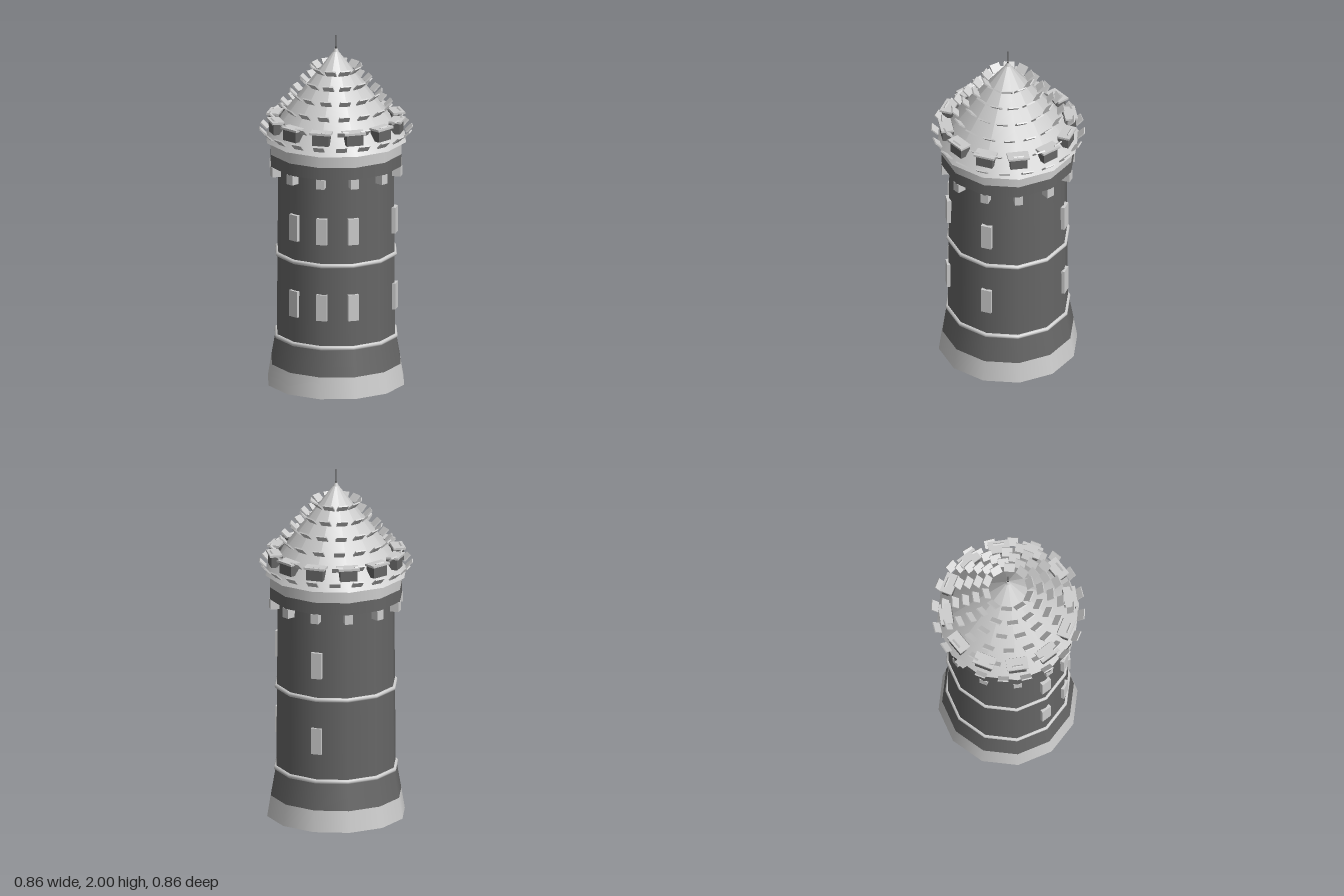
import * as THREE from 'three';

export function createModel() {
  const tower = new THREE.Group();
  tower.name = 'roundTower';
  const mat = (name, color) => {
    const m = new THREE.MeshStandardMaterial({ color });
    m.name = name;
    return m;
  };
  const stone = mat('darkStone', 0x666666);
  const trim = mat('lightTrim', 0xcccccc);
  const iron = mat('iron', 0x555555);
  const SIDES = 12;

  function add(name, geometry, material, parent = tower) {
    const mesh = new THREE.Mesh(geometry, material);
    mesh.name = name;
    parent.add(mesh);
    return mesh;
  }

  // Tapered drum between two heights
  function drum(name, y0, y1, r0, r1, material, sides = SIDES) {
    const g = new THREE.CylinderGeometry(r1, r0, y1 - y0, sides);
    add(name, g, material).position.y = (y0 + y1) / 2;
  }

  // Box standing at an angle round the tower axis, optionally tilted
  function radialBox(name, size, radius, y, angle, material, tilt = 0) {
    const g = new THREE.BoxGeometry(...size);
    g.rotateX(tilt);
    g.translate(0, y, radius);
    g.rotateY(angle);
    add(name, g, material);
  }

  const around = (count, fn) => {
    for (let i = 0; i < count; i++) fn((i / count) * Math.PI * 2);
  };

  // Plinth, shaft and parapet
  drum('plinth', 0, 0.12, 0.39, 0.37, trim);
  drum('flaredBase', 0.12, 0.28, 0.37, 0.342, stone);
  drum('shaft', 0.28, 1.27, 0.338, 0.33, stone);
  drum('parapetWall', 1.265, 1.335, 0.375, 0.375, stone);
  drum('parapetBand', 1.335, 1.405, 0.375, 0.375, trim);

  // String courses
  for (const [y, r] of [[0.28, 0.339], [0.755, 0.335]]) {
    const g = new THREE.TorusGeometry(r, 0.013, 8, SIDES);
    g.rotateX(Math.PI / 2);
    add('stringCourse', g, trim).position.y = y;
  }

  // Corbels under the parapet
  around(12, a => radialBox('corbel', [0.045, 0.055, 0.055], 0.347, 1.238, a, trim));

  // Two storeys of windows
  for (const y of [0.515, 0.955]) {
    for (const deg of [0, 30, -30, 90, 180]) {
      radialBox('window', [0.06, 0.15, 0.03], 0.332, y, THREE.MathUtils.degToRad(deg), trim);
    }
  }

  // Conical roof with its finial
  drum('roof', 1.405, 1.92, 0.4, 0.003, trim);
  drum('finialCollar', 1.9, 1.922, 0.017, 0.008, trim, 10);
  drum('finial', 1.91, 2, 0.005, 0.002, iron, 8);

  // Rows of upturned roof tiles, fewer towards the top
  for (let row = 0; row < 6; row++) {
    const radius = 0.407 - row * 0.0565;
    const y = 1.452 + row * 0.0715;
    around(20 - row * 2, a =>
      radialBox('roofTile', [0.06, 0.008, 0.05], radius, y, a, trim, -0.75));
  }

  // Ring of dormers with flat caps
  around(12, a => {
    radialBox('dormerBody', [0.095, 0.065, 0.065], 0.343, 1.494, a, stone);
    radialBox('dormerCap', [0.12, 0.012, 0.07], 0.35, 1.531, a, trim);
  });

  return tower;
}
